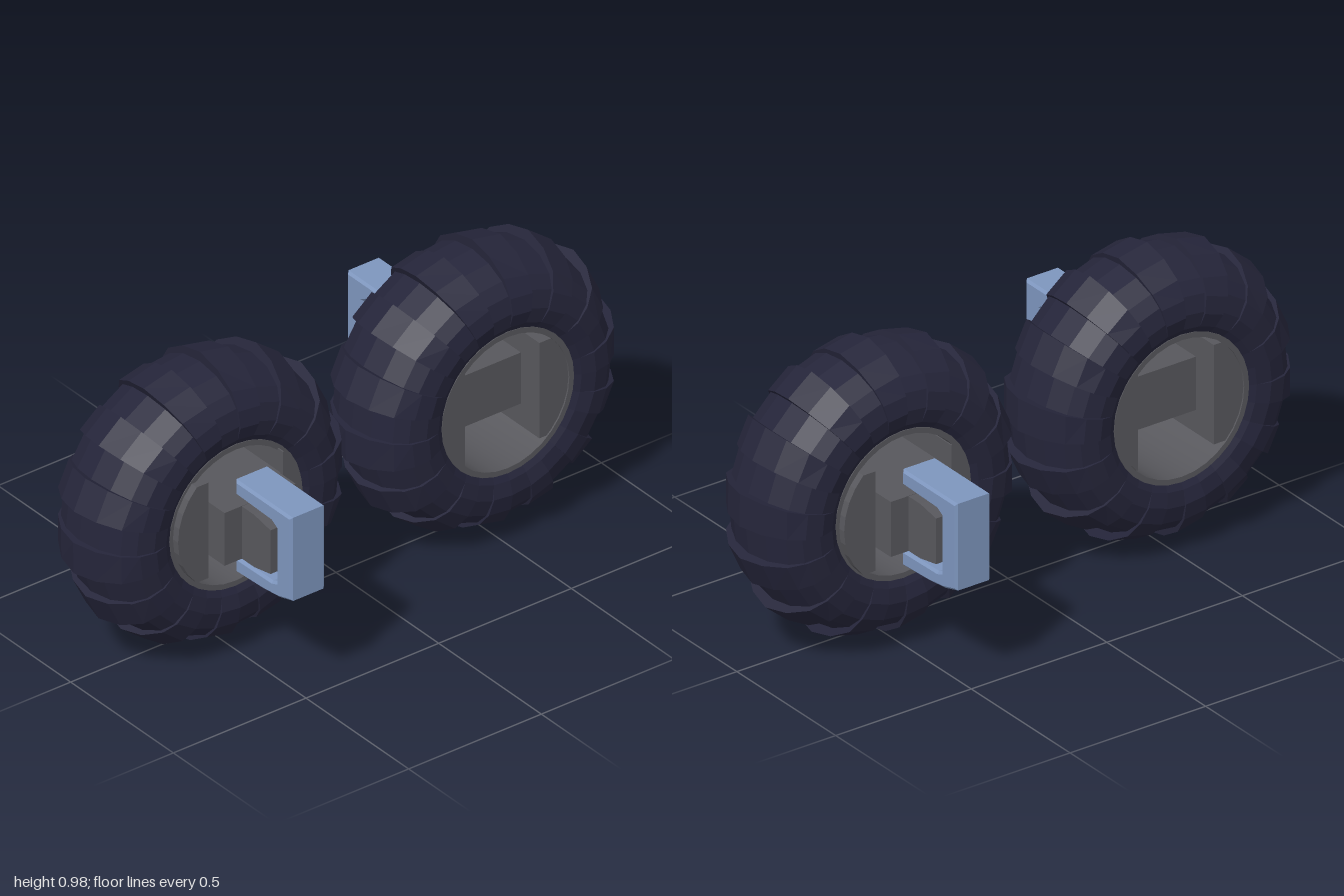
import * as THREE from 'three';
import { toCreasedNormals } from 'three/addons/utils/BufferGeometryUtils.js';

const rubber = new THREE.MeshStandardMaterial({ color: 0x25253a, name: 'dark rubber' });
const metal = new THREE.MeshStandardMaterial({ color: 0x57575c, name: 'grey metal' });
const blue = new THREE.MeshStandardMaterial({ color: 0x7d95bd, name: 'steel blue' });

function addMesh(parent, name, geometry, material) {
  const mesh = new THREE.Mesh(geometry, material);
  mesh.name = name;
  parent.add(mesh);
  return mesh;
}

function addBox(parent, name, x0, x1, height, width) {
  const geo = new THREE.BoxGeometry(x1 - x0, height, width);
  geo.translate((x0 + x1) / 2, 0, 0);
  return addMesh(parent, name, geo, metal);
}

function polygon(points) {
  return new THREE.Shape(points.map(([x, y]) => new THREE.Vector2(x, y)));
}

// Half profiles as [x, radius], from bore to crown
const carcass = [[0.17, 0.245], [0.185, 0.27], [0.192, 0.32], [0.177, 0.375], [0.145, 0.412], [0.08, 0.443], [0, 0.455]];
const tread = [[0.17, 0.245], [0.185, 0.27], [0.198, 0.315], [0.188, 0.37], [0.155, 0.425], [0.085, 0.468], [0, 0.488]];
const fullProfile = half => [...half, ...half.slice(0, -1).reverse().map(([x, r]) => [-x, r])];

// Tyre: cross-sections around the wheel alternate between carcass and raised lug
function tyreGeometry() {
  const lugs = 14, pitch = Math.PI * 2 / lugs, lugArc = pitch * 0.5;
  const low = fullProfile(carcass), high = fullProfile(tread);
  const worn = high.map(([x, r], j) => [x, r - (r > 0.4 ? 0.01 : 0)]);
  const sections = [];
  for (let i = 0; i < lugs; i++) {
    const end = Math.PI / 2 + i * pitch, start = end - lugArc;
    for (const [profile, a] of [[low, start], [worn, start], [high, end], [low, end]]) {
      sections.push(profile.map(([x, r]) => [x, r * Math.sin(a), -r * Math.cos(a)]));
    }
  }
  const positions = [];
  sections.forEach((s, i) => {
    const next = sections[(i + 1) % sections.length];
    for (let j = 0; j < s.length; j++) {
      const k = (j + 1) % s.length;
      positions.push(...s[j], ...s[k], ...next[k], ...s[j], ...next[k], ...next[j]);
    }
  });
  const geo = new THREE.BufferGeometry();
  geo.setAttribute('position', new THREE.Float32BufferAttribute(positions, 3));
  geo.computeVertexNormals();
  return geo;
}

// Rim: thin open ring inside the tyre
function rimGeometry() {
  const ring = [[0.249, -0.175], [0.249, 0.175], [0.231, 0.175], [0.231, -0.175], [0.249, -0.175]];
  const geo = new THREE.LatheGeometry(ring.map(([r, y]) => new THREE.Vector2(r, y)), 32);
  geo.rotateZ(Math.PI / 2);
  return toCreasedNormals(geo, 0.6);
}

// Side plate: slab with a flat inner face, its outer face following the rim
function sidePlateGeometry(side) {
  const radius = 0.235, half = Math.asin(0.168 / radius), points = [[side * 0.14, -0.168]];
  for (let i = 0; i <= 8; i++) {
    const a = -half + (2 * half * i) / 8;
    points.push([-0.02 + side * radius * Math.cos(a), radius * Math.sin(a)]);
  }
  points.push([side * 0.14, 0.168]);
  const geo = new THREE.ExtrudeGeometry(polygon(points), { depth: 0.37, bevelEnabled: false });
  geo.translate(0, 0, -0.17);
  return geo.rotateY(Math.PI / 2);
}

// Drive unit: hub, motor and fork, pointing to +x
function driveUnit(name) {
  const unit = new THREE.Group();
  unit.name = name;
  for (const side of [-1, 1]) addMesh(unit, 'hubSidePlate', sidePlateGeometry(side), metal);
  addBox(unit, 'hubCrossbar', -0.08, 0.19, 0.18, 0.4);
  addBox(unit, 'motorFlange', 0.05, 0.27, 0.186, 0.268);

  const motor = polygon([[0.26, -0.092], [0.33, -0.092], [0.41, -0.077], [0.41, 0.077], [0.33, 0.092], [0.26, 0.092]]);
  const motorGeo = new THREE.ExtrudeGeometry(motor, { depth: 0.138, bevelEnabled: false });
  motorGeo.translate(0, 0, -0.069);
  addMesh(unit, 'motorHousing', motorGeo, metal);

  const fork = polygon([
    [0.238, -0.153], [0.36, -0.148], [0.44, -0.139], [0.497, -0.123], [0.497, 0.156], [0.238, 0.156],
    [0.238, 0.119], [0.41, 0.114], [0.438, 0.098], [0.438, -0.102], [0.41, -0.112], [0.238, -0.115],
  ]);
  const forkGeo = new THREE.ExtrudeGeometry(fork, {
    depth: 0.114, bevelEnabled: true, bevelThickness: 0.008, bevelSize: 0.008, bevelSegments: 1,
  });
  forkGeo.translate(0, 0, -0.057);
  addMesh(unit, 'forkBracket', forkGeo, blue);
  return unit;
}

export function createModel() {
  const model = new THREE.Group();
  model.name = 'wheelPair';
  const tyreGeo = tyreGeometry(), rimGeo = rimGeometry();

  // Front wheel drives from +x, rear wheel from -x
  for (const [label, dir, unitY] of [['front', 1, 0.496], ['rear', -1, 0.482]]) {
    const wheel = new THREE.Group();
    wheel.name = label + 'Wheel';
    wheel.position.set(0, 0.49, dir * 0.513);
    addMesh(wheel, 'tyre', tyreGeo, rubber);
    addMesh(wheel, 'rim', rimGeo, metal);
    model.add(wheel);

    const unit = driveUnit(label + 'DriveUnit');
    unit.position.set(0, unitY, dir * 0.495);
    unit.rotation.y = dir > 0 ? 0 : Math.PI;
    model.add(unit);
  }
  return model;
}
